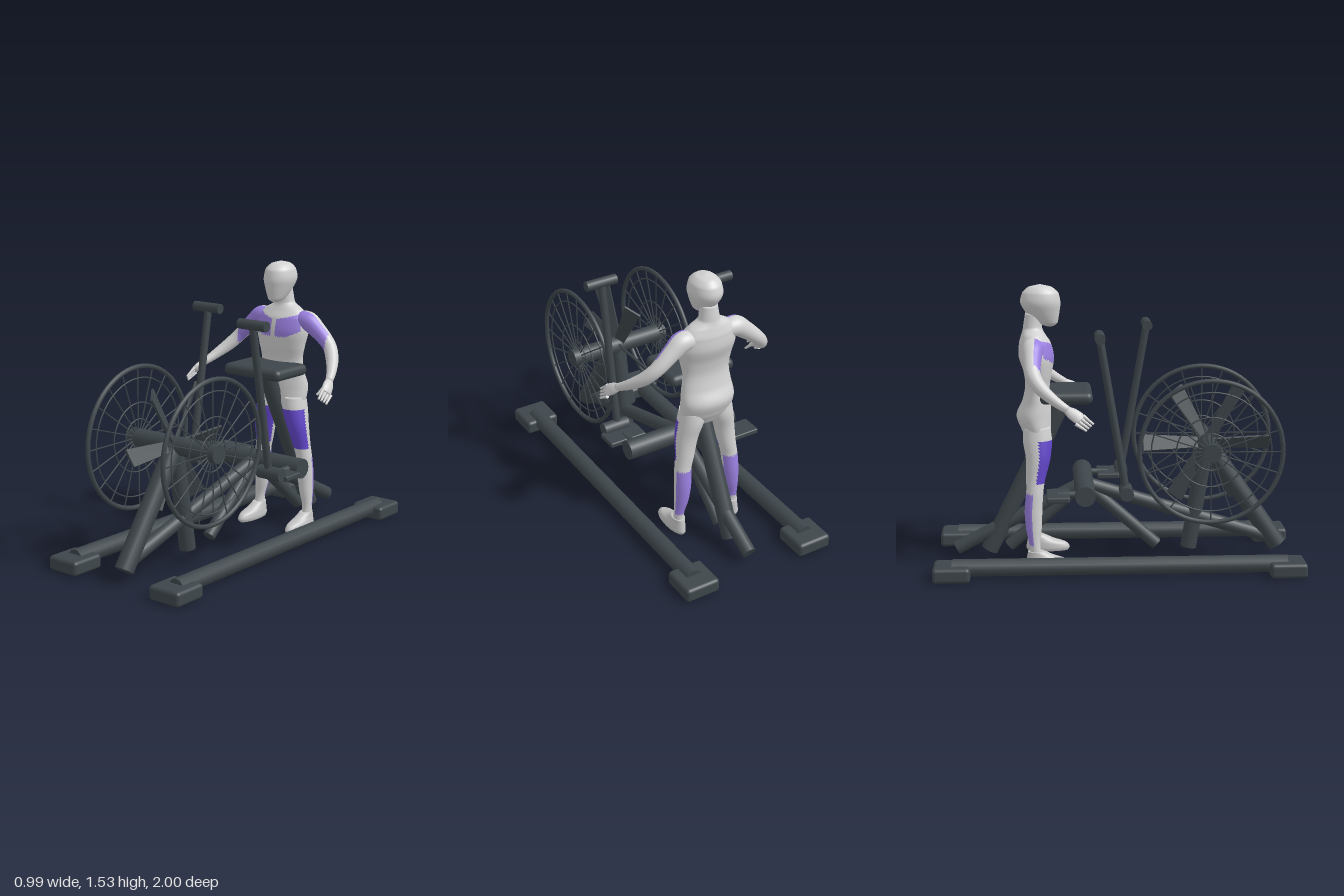
import * as THREE from 'three';
import { RoundedBoxGeometry } from 'three/addons/geometries/RoundedBoxGeometry.js';

const V = (x, y, z) => new THREE.Vector3(x, y, z);
const material = (name, color) => Object.assign(new THREE.MeshStandardMaterial({ color }), { name });

// Smooth closed skin through sections [x, y, z, rx, rz]; side = -1 mirrors it.
// With upright, rings stay horizontal (sections run bottom to top).
// paint(point, outward) picks triangles for the second material.
function loft(sections, { side = 1, upright = true, seg = 40, steps = 6, paint = () => false } = {}) {
  const path = new THREE.CatmullRomCurve3(sections.map(s => V(s[0], s[1], s[2])));
  const size = new THREE.CatmullRomCurve3(sections.map(s => V(s[3], s[4], 0)));
  const rows = (sections.length - 1) * steps;
  const pos = [], centres = [], plain = [], painted = [];
  for (let i = 0; i <= rows; i++) {
    const t = i / rows, c = path.getPoint(t), r = size.getPoint(t);
    const d = upright ? V(0, 1, 0) : path.getTangent(t);
    const u = d.clone().cross(V(0, 0, 1)).normalize(), w = u.clone().cross(d);
    centres.push(c);
    for (let j = 0; j < seg; j++) {
      const a = j / seg * Math.PI * 2;
      const p = c.clone().addScaledVector(u, r.x * Math.cos(a)).addScaledVector(w, r.y * Math.sin(a));
      pos.push(p.x, p.y, p.z);
    }
  }
  const at = k => V(pos[k * 3], pos[k * 3 + 1], pos[k * 3 + 2]);
  const tri = (i, a, b, c) => {
    const m = at(a).add(at(b)).add(at(c)).divideScalar(3);
    const list = paint(m, m.clone().sub(centres[i]).normalize()) ? painted : plain;
    if (side > 0) list.push(a, b, c); else list.push(a, c, b);
  };
  for (let i = 0; i < rows; i++) for (let j = 0; j < seg; j++) {
    const k = (j + 1) % seg, a = i * seg + j, b = i * seg + k;
    tri(i, a, a + seg, b);
    tri(i, b, a + seg, b + seg);
  }
  // end caps
  const c0 = pos.length / 3;
  for (const c of [centres[0], centres[rows]]) pos.push(c.x, c.y, c.z);
  for (let j = 0; j < seg; j++) {
    const k = (j + 1) % seg, e = rows * seg;
    tri(0, c0, j, k);
    tri(rows, c0 + 1, e + k, e + j);
  }
  const g = new THREE.BufferGeometry();
  g.setAttribute('position', new THREE.Float32BufferAttribute(pos.map((v, i) => i % 3 ? v : v * side), 3));
  g.setIndex([...plain, ...painted]);
  g.addGroup(0, plain.length, 0);
  g.addGroup(plain.length, painted.length, 1);
  g.computeVertexNormals();
  return g;
}

export function createModel() {
  const root = new THREE.Group();
  root.name = 'exerciseBikeWithRider';
  const frame = material('charcoal', 0x3e464b);
  const skin = material('paleGrey', 0xd2d2d2);
  const shoe = material('shoeGrey', 0xc4c4c4);
  const lilac = material('lilac', 0x9a80e0);
  const violet = material('violet', 0x6347cc);

  const add = (name, geometry, mat, parent = root) => {
    const m = new THREE.Mesh(geometry, mat);
    m.name = name;
    parent.add(m);
    return m;
  };
  // straight rod between two points
  const rod = (name, a, b, r, { seg = 16, parent = root, mat = frame, r2 = r } = {}) => {
    const d = b.clone().sub(a);
    const m = add(name, new THREE.CylinderGeometry(r2, r, d.length(), seg), mat, parent);
    m.position.copy(a).add(b).multiplyScalar(0.5);
    m.quaternion.setFromUnitVectors(V(0, 1, 0), d.normalize());
    return m;
  };
  const box = (name, w, h, d, radius, x, y, z) =>
    add(name, new RoundedBoxGeometry(w, h, d, 3, radius), frame).position.set(x, y, z);
  const group = (name, parent = root) => {
    const g = new THREE.Group();
    g.name = name;
    parent.add(g);
    return g;
  };

  // ground rails and feet
  for (const s of [-1, 1]) {
    rod('rail', V(s * 0.355, 0.06, -0.9), V(s * 0.355, 0.06, 0.9), 0.048, { seg: 12 });
    for (const e of [-1, 1]) box('railFoot', 0.2, 0.08, 0.2, 0.02, s * 0.355, 0.04, e * 0.9);
  }

  // frame tubes in the middle plane
  const hubY = 0.655, hubZ = 0.495, barY = 0.435, barZ = -0.185;
  rod('frontFork', V(0, hubY, hubZ), V(0, 0.07, 0.9), 0.052);
  rod('hubPost', V(0, hubY, hubZ), V(0, 0.06, 0.4), 0.045);
  rod('lowerFrontTube', V(0, barY, barZ), V(0, 0.11, 0.86), 0.038);
  rod('frontStrut', V(0, barY, barZ), V(0, 0.08, 0.22), 0.035);
  rod('rearStrut', V(0, barY, barZ), V(0, 0.08, -0.6), 0.035);
  rod('rearTube', V(0, barY, barZ), V(0, 0.07, -0.89), 0.038);
  rod('seatPost', V(0, 0.93, -0.28), V(0, 0.06, -0.71), 0.048);
  rod('wheelAxle', V(-0.3, hubY, hubZ), V(0.3, hubY, hubZ), 0.05);
  rod('crankBar', V(-0.335, barY, barZ), V(0.335, barY, barZ), 0.055);
  box('seat', 0.39, 0.065, 0.285, 0.03, 0, 0.938, -0.28);

  // wire cage wheels
  for (const s of [-1, 1]) {
    const wheel = group('wheel');
    wheel.position.set(s * 0.26, hubY, hubZ);
    wheel.rotation.y = Math.PI / 2;
    add('rim', new THREE.TorusGeometry(0.387, 0.013, 10, 64), frame, wheel);
    for (const r of [0.1, 0.19, 0.325]) add('wireRing', new THREE.TorusGeometry(r, 0.004, 6, 48), frame, wheel);
    for (let i = 0; i < 20; i++) {
      const a = i / 20 * Math.PI * 2, c = Math.cos(a), n = Math.sin(a);
      rod('spoke', V(c * 0.04, n * 0.04, 0), V(c * 0.385, n * 0.385, 0), 0.004, { seg: 6, parent: wheel });
    }
  }

  // six pitched fan blades
  for (let i = 0; i < 6; i++) {
    const arm = group('fanBlade');
    arm.position.set(0, hubY, hubZ);
    arm.rotation.x = i * Math.PI / 3 + Math.PI / 2;
    const g = new THREE.BoxGeometry(0.012, 0.31, 0.1);
    const p = g.attributes.position;
    for (let k = 0; k < p.count; k++) if (p.getY(k) < 0) p.setZ(k, p.getZ(k) * 0.6);
    const blade = add('blade', g, frame, arm);
    blade.position.y = 0.195;
    blade.rotation.y = 0.6;
  }

  // swinging handles, cranks and pedals
  for (const s of [-1, 1]) {
    const topZ = s > 0 ? 0.18 : -0.105, pedalZ = barZ + s * 0.145;
    rod('handlePivot', V(s * 0.21, 0.45, 0.035), V(s * 0.36, 0.45, 0.035), 0.037);
    rod('handleLever', V(s * 0.27, 0.45, 0.035), V(s * 0.27, 1.28, topZ), 0.021);
    rod('handleGrip', V(s * 0.183, 1.282, topZ), V(s * 0.364, 1.282, topZ), 0.028);
    rod('crankArm', V(s * 0.27, barY, barZ), V(s * 0.27, 0.43, pedalZ), 0.02);
    box('pedal', 0.22, 0.03, 0.125, 0.008, s * 0.275, 0.428, pedalZ);
  }

  // rider
  const rider = group('rider');
  const pecs = (p, o) => {
    const x = Math.abs(p.x);
    return o.z > 0.25 && x > 0.018 && p.y < 1.215 + 0.28 * (x - 0.03) && p.y > 1.115 + Math.max(0, x - 0.08) * 0.5;
  };
  add('torso', loft([
    [0, 0.68, -0.44, 0.09, 0.05], [0, 0.74, -0.442, 0.152, 0.082], [0, 0.82, -0.455, 0.156, 0.096],
    [0, 0.9, -0.442, 0.146, 0.077], [0, 0.98, -0.435, 0.137, 0.067], [0, 1.06, -0.432, 0.152, 0.078],
    [0, 1.15, -0.44, 0.168, 0.096], [0, 1.22, -0.447, 0.158, 0.086], [0, 1.265, -0.455, 0.115, 0.065],
    [0, 1.3, -0.458, 0.058, 0.052], [0, 1.38, -0.45, 0.046, 0.048]], { seg: 72, steps: 9, paint: pecs }), [skin, lilac], rider);
  add('head', loft([
    [0, 1.308, -0.365, 0.012, 0.02], [0, 1.325, -0.378, 0.04, 0.055], [0, 1.38, -0.402, 0.068, 0.09],
    [0, 1.44, -0.415, 0.086, 0.109], [0, 1.49, -0.415, 0.078, 0.098], [0, 1.522, -0.417, 0.049, 0.062],
    [0, 1.535, -0.417, 0.004, 0.005]]), skin, rider);

  for (const side of [-1, 1]) {
    // leg with front thigh and rear calf patches
    const leg = add('leg', loft([
      [0.17, 0.05, -0.45, 0.028, 0.035], [0.172, 0.12, -0.457, 0.028, 0.029], [0.16, 0.22, -0.462, 0.04, 0.043],
      [0.153, 0.32, -0.463, 0.046, 0.048], [0.147, 0.42, -0.455, 0.046, 0.047], [0.135, 0.48, -0.45, 0.05, 0.051],
      [0.115, 0.6, -0.435, 0.062, 0.067], [0.092, 0.7, -0.438, 0.07, 0.079], [0.085, 0.77, -0.44, 0.065, 0.072]],
    { side, paint: (p, o) => (p.y > 0.47 && p.y < 0.7 && o.z > 0.1) || (p.y > 0.13 && p.y < 0.41 && o.z < -0.15) }), [skin, violet], rider);
    // calves use the paler patch colour
    const g = leg.geometry, half = g.groups[1], ids = [...g.index.array];
    const patch = ids.slice(half.start), low = [], high = [];
    for (let i = 0; i < patch.length; i += 3)
      (g.attributes.position.getY(patch[i]) < 0.44 ? low : high).push(...patch.slice(i, i + 3));
    g.setIndex([...ids.slice(0, half.start), ...high, ...low]);
    half.count = high.length;
    g.addGroup(half.start + high.length, low.length, 2);
    leg.material = [skin, violet, lilac];

    add('shoe', loft([
      [0.17, 0.002, -0.385, 0.04, 0.115], [0.172, 0.02, -0.385, 0.047, 0.124], [0.172, 0.045, -0.392, 0.045, 0.113],
      [0.171, 0.07, -0.425, 0.038, 0.075], [0.171, 0.095, -0.45, 0.033, 0.045]], { side }), shoe, rider);

    // arm with a front shoulder and biceps patch
    add('arm', loft([
      [0.09, 1.2, -0.455, 0.045, 0.05], [0.16, 1.205, -0.457, 0.055, 0.058], [0.22, 1.165, -0.46, 0.048, 0.05],
      [0.31, 1.085, -0.455, 0.038, 0.04], [0.36, 1.025, -0.415, 0.036, 0.036], [0.41, 0.965, -0.34, 0.028, 0.027],
      [0.44, 0.925, -0.275, 0.02, 0.02]],
    { side, upright: false, paint: (p, o) => p.x > 0.1 && p.x < 0.31 && o.z > 0.15 }), [skin, lilac], rider);

    // hand
    const hand = group('hand', rider);
    add('palm', loft([
      [0.435, 0.93, -0.285, 0.018, 0.02], [0.45, 0.91, -0.255, 0.019, 0.032], [0.462, 0.89, -0.225, 0.017, 0.034],
      [0.47, 0.878, -0.208, 0.01, 0.024]], { side, upright: false, seg: 20 }), skin, hand);
    for (let i = 0; i < 4; i++) {
      const a = V(side * (0.455 + i * 0.008), 0.9 - i * 0.013, -0.2 - i * 0.013);
      const b = V(side * (0.466 + i * 0.008), 0.855 - i * 0.01, -0.145 - i * 0.012);
      rod('finger', a, b, 0.01, { seg: 10, parent: hand, mat: skin, r2: 0.006 });
    }
    rod('thumb', V(side * 0.438, 0.91, -0.25), V(side * 0.41, 0.86, -0.205), 0.011, { seg: 10, parent: hand, mat: skin, r2: 0.006 });
  }
  return root;
}
